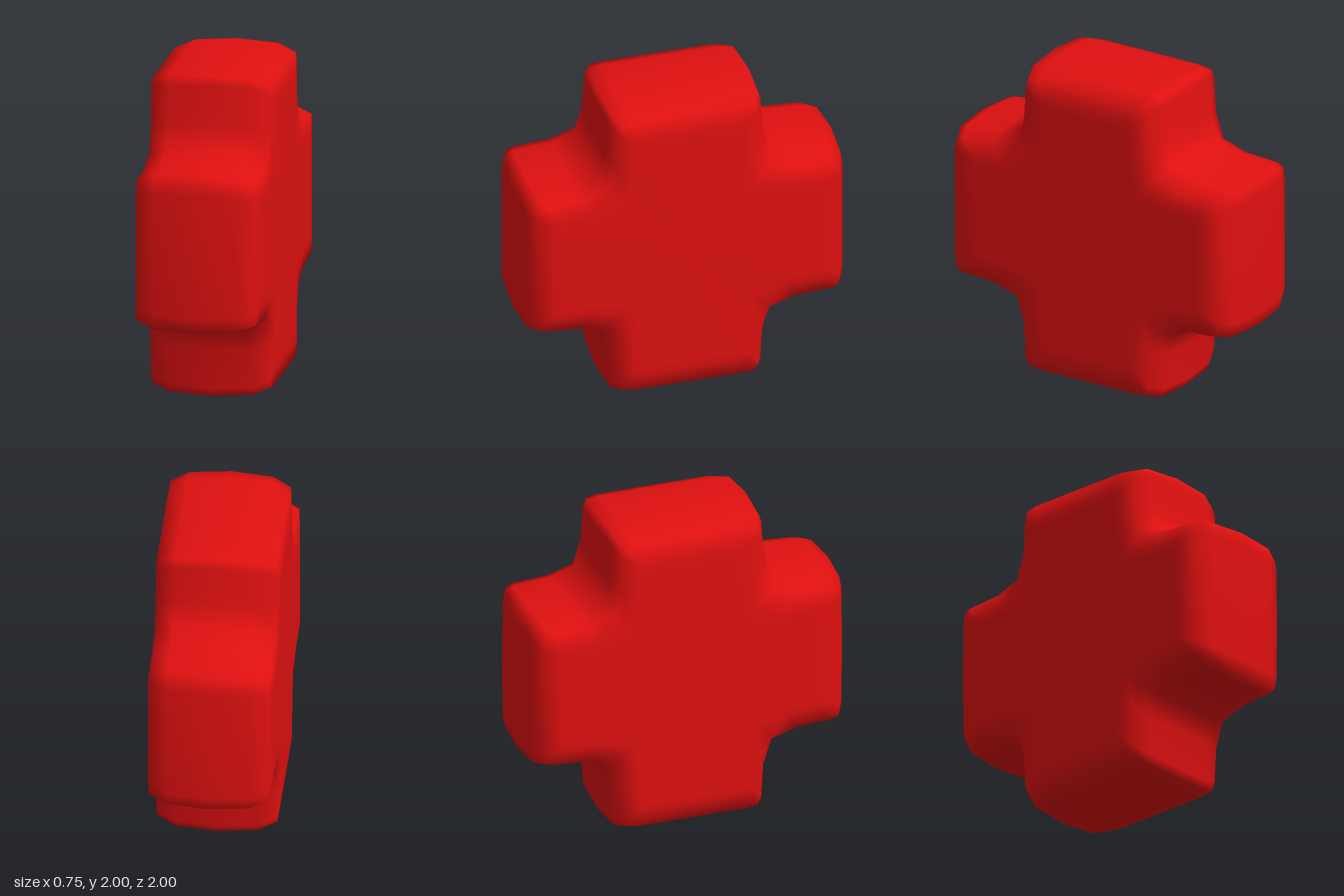
import * as THREE from 'three';

// Half of one arm's outline as [z, y], from the arm's tip to the inner corner:
// outer = widest section at x = 0, inner = edge of the flat side face.
const outer = [[0, 1], [0.38, 0.998], [0.465, 0.983], [0.488, 0.93], [0.503, 0.69], [0.555, 0.555]];
const inner = [[0, 0.83], [0.295, 0.83], [0.33, 0.82], [0.34, 0.785], [0.35, 0.6], [0.40, 0.40]];

// Sections from side to side: [x, blend from outer to inner]
const half = [[0.25, 0.09], [0.36, 0.36], [0.374, 1], [0.375, 1.35]];
const sections = [...half.map(([x, t]) => [-x, t]).reverse(), [0, 0], ...half];

// Full cross outline at one blend value
function outline(t) {
  const arm = outer.map(([z, y], i) => [
    THREE.MathUtils.lerp(z, inner[i][0], t),
    THREE.MathUtils.lerp(y, inner[i][1], t),
  ]);
  // mirror about the diagonal, leaving out the shared corner and next tip
  let quarter = [...arm, ...arm.slice(1, -1).reverse().map(([z, y]) => [y, z])];
  const points = [];
  for (let q = 0; q < 4; q++) {
    points.push(...quarter);
    quarter = quarter.map(([z, y]) => [y, -z]);
  }
  return points;
}

function crossGeometry() {
  const positions = [], index = [];
  const n = outline(0).length;
  for (const [x, t] of sections) {
    for (const [z, y] of outline(t)) positions.push(x, y + 1, z);
  }
  const last = sections.length - 1;
  const capA = sections.length * n, capB = capA + 1;
  positions.push(-0.375, 1, 0, 0.375, 1, 0);
  for (let i = 0; i < n; i++) {
    const j = (i + 1) % n;
    // rounded rim between sections
    for (let r = 0; r < last; r++) {
      const a = r * n + i, b = r * n + j;
      index.push(a, b, b + n, a, b + n, a + n);
    }
    // flat side faces
    index.push(capA, j, i, capB, last * n + i, last * n + j);
  }
  const geometry = new THREE.BufferGeometry();
  geometry.setAttribute('position', new THREE.Float32BufferAttribute(positions, 3));
  geometry.setIndex(index);
  geometry.computeVertexNormals();
  return geometry;
}

export function createModel() {
  const red = new THREE.MeshStandardMaterial({ color: 0xe01010 });
  red.name = 'red';
  const group = new THREE.Group();
  group.name = 'roundedCross';
  const cross = new THREE.Mesh(crossGeometry(), red);
  cross.name = 'crossBody';
  group.add(cross);
  return group;
}
